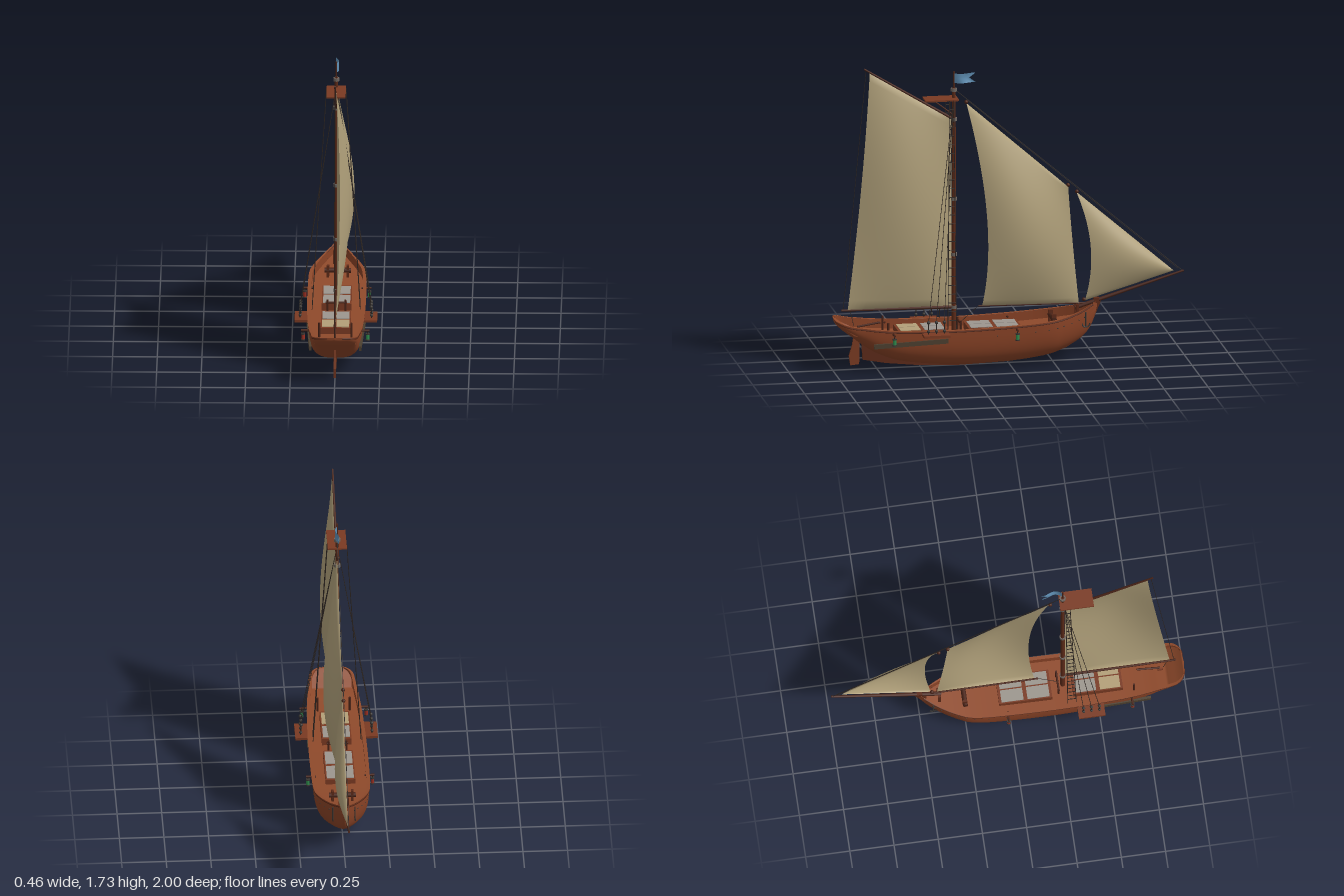
import * as THREE from 'three';
import { ParametricGeometry } from 'three/addons/geometries/ParametricGeometry.js';

const mat = (color, side = THREE.FrontSide) => new THREE.MeshStandardMaterial({ color, side });
const D = THREE.DoubleSide;
const M = {
  hull: mat(0x8a4326, D), deck: mat(0x8f4a2b, D), trim: mat(0x5c2a18), spar: mat(0x4a2418),
  plank: mat(0x7a3a22), sail: mat(0xb0a07a, D), rope: mat(0x2e2622), iron: mat(0x3a3734),
  band: mat(0x6e6660), glass: mat(0x9c968e), canvas: mat(0xb39f78), olive: mat(0x4d4030),
  flag: mat(0x5f8fb4, D), green: mat(0x2f8a4c), red: mat(0x9a2f22),
};
const V = (x, y, z) => new THREE.Vector3(x, y, z);

// hull stations: z, half width, sheer height, bottom height, section exponent
const stations = [
  [0.995, 0.0, 0.297, 0.285, 0.8], [0.985, 0.075, 0.294, 0.268, 0.8], [0.95, 0.114, 0.283, 0.235, 0.75],
  [0.9, 0.125, 0.27, 0.198, 0.7], [0.84, 0.13, 0.262, 0.15, 0.7], [0.75, 0.14, 0.25, 0.095, 0.68],
  [0.6, 0.15, 0.24, 0.045, 0.66], [0.3, 0.158, 0.236, 0.015, 0.66], [0.0, 0.158, 0.245, 0.022, 0.66],
  [-0.2, 0.152, 0.258, 0.045, 0.7], [-0.3, 0.125, 0.272, 0.072, 0.78], [-0.4, 0.075, 0.295, 0.12, 0.9],
  [-0.46, 0.035, 0.317, 0.18, 1], [-0.505, 0.006, 0.338, 0.28, 1],
];
const topLine = new THREE.CatmullRomCurve3(stations.map(s => V(s[1], s[2], s[0])), false, 'catmullrom', 0.5);
const lowLine = new THREE.CatmullRomCurve3(stations.map(s => V(s[4], s[3], s[0])), false, 'catmullrom', 0.5);

export function createModel() {
  const root = new THREE.Group();
  const add = (name, geo, m, pos, parent = root) => {
    const mesh = new THREE.Mesh(geo, m);
    mesh.name = name;
    if (pos) mesh.position.set(...pos);
    parent.add(mesh);
    return mesh;
  };
  const box = (name, size, pos, m, parent) => add(name, new THREE.BoxGeometry(...size), m, pos, parent);
  const ball = (name, r, pos, m) => add(name, new THREE.SphereGeometry(r, 10, 8), m, pos);
  // round bar from point a to point b
  const rod = (name, a, b, r, m = M.spar, r2 = r, sides = 10) => {
    const p = V(...a), q = V(...b), dir = q.clone().sub(p);
    const mesh = add(name, new THREE.CylinderGeometry(r2, r, dir.length(), sides), m);
    mesh.position.copy(p).add(q).multiplyScalar(0.5);
    mesh.quaternion.setFromUnitVectors(V(0, 1, 0), dir.normalize());
    return mesh;
  };
  const rope = (a, b, r = 0.0016) => rod('rope', a, b, r, M.rope, r, 5);
  const surface = (name, f, nu, nv, m) => add(name, new ParametricGeometry(f, nu, nv), m);

  // hull shell, deck and bulwark lining
  surface('hull', (u, v, t) => {
    const a = topLine.getPoint(u), b = lowLine.getPoint(u), w = Math.PI * v;
    const c = Math.cos(w), s = Math.max(Math.sin(w), 0);
    t.set(a.x * Math.sign(c) * Math.abs(c) ** b.x, a.y - (a.y - b.y) * s ** b.x, a.z);
  }, 60, 36, M.hull);
  const deckY = (a, b) => Math.min(a.y, Math.max(a.y - 0.05, b.y + 0.025));
  surface('deck', (u, v, t) => {
    const a = topLine.getPoint(u), b = lowLine.getPoint(u);
    t.set(a.x * 0.93 * (1 - 2 * v), deckY(a, b), a.z);
  }, 60, 4, M.deck);
  for (const s of [-1, 1]) {
    surface('bulwarkLining', (u, v, t) => {
      const a = topLine.getPoint(u), b = lowLine.getPoint(u);
      t.set(s * a.x * 0.93, a.y + (deckY(a, b) - a.y) * v, a.z);
    }, 60, 1, M.hull);
    surface('railCap', (u, v, t) => {
      const a = topLine.getPoint(u);
      t.set(s * a.x * (0.91 + 0.13 * v), a.y + 0.003, a.z);
    }, 60, 1, M.deck);
    // rubbing strake just under the rail
    const pts = Array.from({ length: 25 }, (_, i) => {
      const a = topLine.getPoint(0.04 + i * 0.038);
      return V(s * (a.x + 0.001), a.y - 0.006, a.z);
    });
    add('strake', new THREE.TubeGeometry(new THREE.CatmullRomCurve3(pts), 60, 0.005, 6), M.trim);
  }

  // keel, stem and sternpost in one plate
  const keel = new THREE.Shape([
    [0.84, 0.2], [0.83, 0.055], [0.7, 0.03], [0.5, 0.008], [0.3, 0], [0, 0.01], [-0.2, 0.034], [-0.33, 0.075],
    [-0.42, 0.135], [-0.48, 0.23], [-0.525, 0.33], [-0.49, 0.345], [-0.45, 0.24], [-0.38, 0.15],
    [-0.2, 0.07], [0.3, 0.03], [0.6, 0.06], [0.75, 0.12],
  ].map(p => new THREE.Vector2(...p)));
  const plate = (name, shape, depth, x, m) => {
    const g = new THREE.ExtrudeGeometry(shape, { depth, bevelEnabled: false });
    g.rotateY(-Math.PI / 2);
    return add(name, g, m, [x + depth / 2, 0, 0]);
  };
  plate('keel', keel, 0.014, 0, M.trim);
  plate('rudder', new THREE.Shape([[0.85, 0.03], [0.9, 0.025], [0.908, 0.08], [0.89, 0.14], [0.875, 0.23], [0.845, 0.23]]
    .map(p => new THREE.Vector2(...p))), 0.012, 0, M.plank);
  box('stemHead', [0.025, 0.03, 0.03], [0, 0.338, -0.5], M.trim);

  // skylight cabins with four panes each
  for (const [z, len, last] of [[0.09, 0.3, M.glass], [0.5, 0.28, M.canvas]]) {
    const cabin = new THREE.Group();
    cabin.name = 'cabin';
    cabin.position.set(0, 0.2, z);
    root.add(cabin);
    box('cabinBody', [0.166, 0.055, len], [0, 0, 0], M.plank, cabin);
    for (const sx of [-1, 1]) for (const sz of [-1, 1])
      box('pane', [0.072, 0.006, len / 2 - 0.025], [sx * 0.04, 0.028, sz * len * 0.245], sz > 0 ? last : M.glass, cabin);
  }

  // windlass, bitts, helm and deck posts
  rod('windlass', [-0.075, 0.25, -0.25], [0.075, 0.25, -0.25], 0.014);
  for (const s of [-1, 1]) {
    box('windlassPost', [0.014, 0.08, 0.025], [s * 0.055, 0.24, -0.25], M.trim);
    box('bitt', [0.014, 0.09, 0.016], [s * 0.022, 0.275, -0.39], M.trim);
    rod('pinPost', [s * 0.05, 0.18, 0.28], [s * 0.05, 0.265, 0.28], 0.006);
    rod('sternPost', [s * 0.09, 0.19, 0.7], [s * 0.09, 0.28, 0.7], 0.006);
  }
  rod('pinRail', [-0.06, 0.25, 0.28], [0.06, 0.25, 0.28], 0.006);
  rod('tiller', [0, 0.245, 0.86], [0, 0.265, 0.73], 0.006);

  // mast, gaff, booms and bowsprit
  rod('mast', [0, 0.15, 0.31], [0, 1.6, 0.31], 0.014, M.trim, 0.01, 14);
  rod('topPole', [0, 1.58, 0.31], [0, 1.695, 0.31], 0.005);
  for (const y of [0.335, 0.64, 0.96, 1.42, 1.59]) rod('mastBand', [0, y - 0.009, 0.31], [0, y + 0.009, 0.31], 0.018, M.band);
  rod('gaff', [0, 1.415, 0.305], [0, 1.73, 0.82], 0.008, M.spar, 0.005);
  rod('mainBoom', [0, 0.335, 0.3], [0, 0.342, 0.95], 0.009, M.spar, 0.006);
  rod('staysailBoom', [0, 0.335, 0.17], [0, 0.325, -0.45], 0.005);
  rod('bowsprit', [0, 0.3, -0.38], [0, 0.487, -0.998], 0.012, M.spar, 0.006);
  box('lookoutPlatform', [0.108, 0.009, 0.19], [0, 1.54, 0.385], M.plank);
  rod('platformBrace', [0, 1.45, 0.32], [0, 1.535, 0.43], 0.004);

  // sails: patch between an aft edge and a fore edge, each a bent curve of [z, y]
  const edge = pts => new THREE.QuadraticBezierCurve(...pts.map(p => new THREE.Vector2(...p)));
  const sail = (name, aft, fore, bulge, loose) => {
    const A = edge(aft), F = edge(fore);
    surface(name, (u, v, t) => {
      const a = A.getPoint(v), p = a.lerp(F.getPoint(v), u);
      const belly = Math.sin(Math.PI * (loose + (1 - loose) * u)) * Math.sin(Math.PI * v) ** 0.85;
      t.set(0.004 + bulge * belly, p.y, p.x);
    }, 24, 28, M.sail);
  };
  sail('mainsail', [[0.79, 1.705], [0.83, 1.1], [0.915, 0.345]], [[0.325, 1.42], [0.325, 0.9], [0.325, 0.345]], 0.077, 0.1);
  sail('staysail', [[0.24, 1.51], [0.07, 0.8], [0.15, 0.335]], [[-0.34, 1.0], [-0.36, 0.7], [-0.4, 0.33]], 0.092, 0.22);
  sail('jib', [[-0.385, 0.97], [-0.51, 0.66], [-0.435, 0.34]], [[-0.94, 0.49], [-0.94, 0.49], [-0.94, 0.49]], 0.055, 0.3);
  for (const [y, z] of [[1.515, 0.24], [1.01, -0.34], [0.97, -0.39], [0.345, -0.43]]) ball('sailBlock', 0.011, [0, y, z], M.spar);

  // standing and running rigging
  rope([0, 1.595, 0.31], [0, 0.487, -0.99], 0.002);
  rope([0, 1.53, 0.24], [0, 0.5, -0.965]);
  rope([0, 1.72, 0.81], [0, 0.342, 0.94]);
  rope([0, 0.335, 0.17], [0, 0.24, 0.28]);
  rope([0, 0.34, 0.9], [0, 0.25, 0.88]);

  for (const s of [-1, 1]) {
    // side platform with shrouds and deadeyes
    box('channel', [0.085, 0.014, 0.15], [s * 0.189, 0.224, 0.445], M.plank);
    for (const z of [0.4, 0.445, 0.49]) {
      rope([s * 0.008, 1.5, 0.315], [s * 0.198, 0.3, z], 0.0018);
      rope([s * 0.198, 0.3, z], [s * 0.2, 0.235, z], 0.003);
      ball('deadeye', 0.01, [s * 0.198, 0.3, z], M.iron);
      ball('deadeye', 0.009, [s * 0.2, 0.25, z], M.iron);
    }
    // rope ladder from the deck to the lookout
    const at = (k, z0, z1) => [s * (0.135 - 0.08 * k), 0.24 + 1.3 * k, z0 + (z1 - z0) * k];
    rope(at(0, 0.368, 0.345), at(1, 0.368, 0.345), 0.0022);
    rope(at(0, 0.32, 0.32), at(1, 0.32, 0.32), 0.0022);
    for (let i = 1; i < 26; i++) rope(at(i / 26, 0.368, 0.345), at(i / 26, 0.32, 0.32), 0.0025);

    // side lanterns on brackets
    for (const z of [-0.02, 0.68]) {
      rod('lanternArm', [s * 0.135, 0.228, z], [s * 0.192, 0.228, z], 0.006);
      rod('lantern', [s * 0.181, 0.175, z], [s * 0.181, 0.205, z], 0.01, s > 0 ? M.green : M.red);
      for (const y of [0.17, 0.205]) rod('lanternCap', [s * 0.181, y, z], [s * 0.181, y + 0.007, z], 0.012, M.iron);
      rope([s * 0.181, 0.21, z], [s * 0.181, 0.228, z], 0.003);
    }

    // tapered guard plank along the quarter
    const guard = box('guardPlank', [0.014, 0.026, 0.42], [s * 0.15, 0.17, 0.58], M.olive);
    guard.rotation.set(0.05, -s * 0.05, 0);
    // row of bolts towards the bow
    for (let i = 0; i < 9; i++) {
      const a = topLine.getPoint(0.59 + i * 0.035);
      ball('bolt', 0.004, [s * a.x * 0.985, a.y - 0.045, a.z], M.iron);
    }
    // hanging anchor
    rod('anchorShank', [s * 0.062, 0.285, -0.43], [s * 0.062, 0.2, -0.43], 0.004, M.iron);
    const arms = add('anchorArms', new THREE.TorusGeometry(0.022, 0.004, 6, 12, Math.PI), M.iron, [s * 0.062, 0.222, -0.43]);
    arms.rotation.set(Math.PI, Math.PI / 2, 0);
  }

  // swallow-tailed flag with a slight wave
  const flag = new THREE.PlaneGeometry(0.12, 0.055, 12, 2);
  const p = flag.attributes.position;
  for (let i = 0; i < p.count; i++) {
    const k = p.getX(i) / 0.12 + 0.5, y = p.getY(i);
    const notch = Math.abs(y) < 0.01 ? 0.7 : 1;
    p.setXYZ(i, 0.012 * Math.sin(k * 5) + 0.008 * k, 1.655 + y, 0.306 - 0.12 * k * notch);
  }
  flag.computeVertexNormals();
  add('flag', flag, M.flag);
  return root;
}
